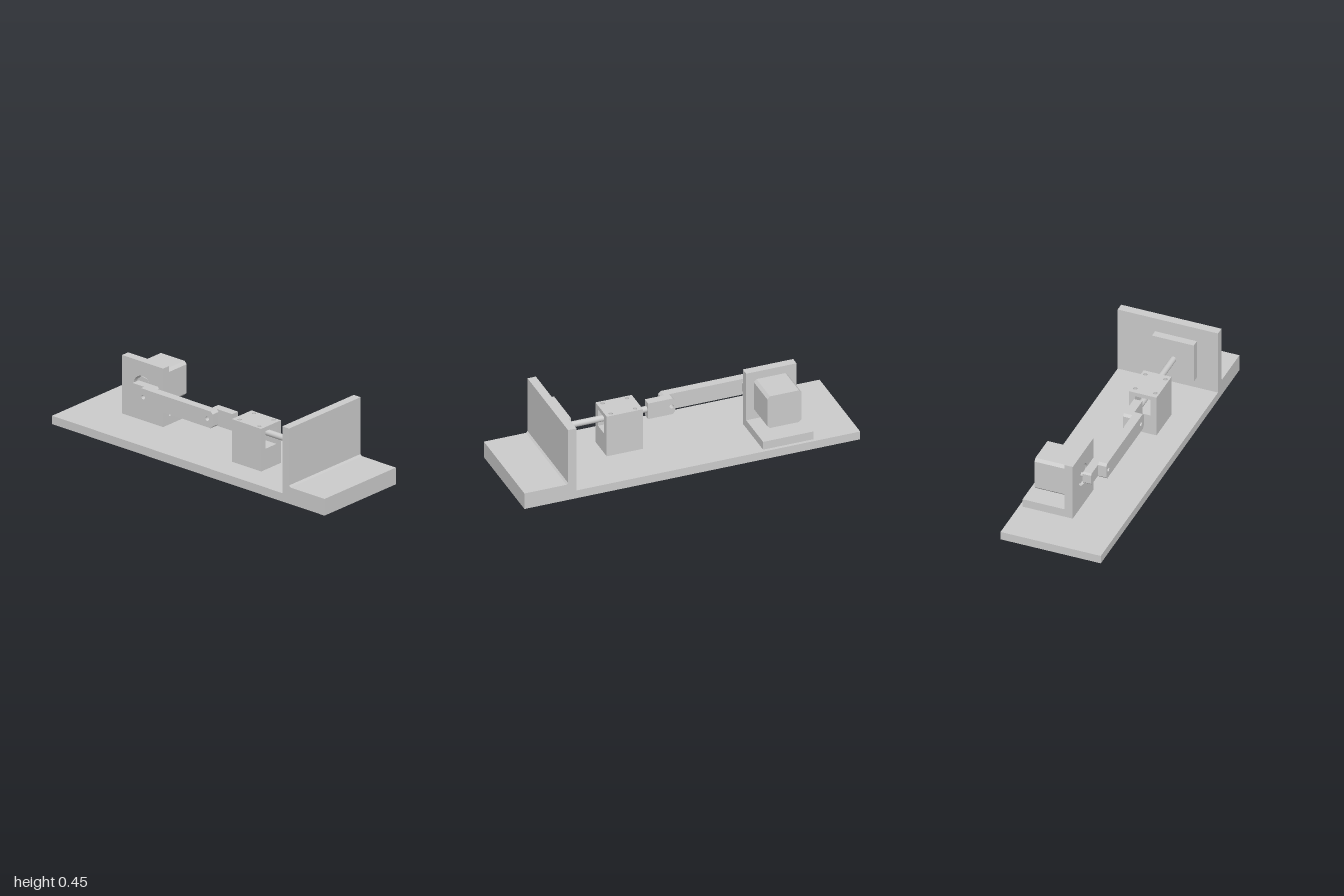
import * as THREE from 'three';

const material = new THREE.MeshStandardMaterial({ color: 0xcccccc });

function add(parent, name, geometry, x = 0, y = 0, z = 0) {
  const mesh = new THREE.Mesh(geometry, material);
  mesh.name = name;
  mesh.position.set(x, y, z);
  parent.add(mesh);
  return mesh;
}

// Box given by its minimum and maximum on each axis
function box(parent, name, x0, x1, y0, y1, z0, z1) {
  add(parent, name, new THREE.BoxGeometry(x1 - x0, y1 - y0, z1 - z0),
    (x0 + x1) / 2, (y0 + y1) / 2, (z0 + z1) / 2);
}

// Rectangle with corner cuts (left and right ends) and round holes [x, y, r]
function plate(x0, x1, y0, y1, cutL = 0, cutR = 0, holes = []) {
  const points = [];
  const corner = (x, y, dx, dy, c, flip) => {
    if (!c) return points.push(new THREE.Vector2(x, y));
    const pair = [new THREE.Vector2(x + dx * c, y), new THREE.Vector2(x, y + dy * c)];
    points.push(...(flip ? pair.reverse() : pair));
  };
  corner(x0, y0, 1, 1, cutL, true);
  corner(x1, y0, -1, 1, cutR, false);
  corner(x1, y1, -1, -1, cutR, true);
  corner(x0, y1, 1, -1, cutL, false);
  const shape = new THREE.Shape(points);
  for (const [x, y, r] of holes) {
    shape.holes.push(new THREE.Path().absarc(x, y, r, 0, Math.PI * 2, true));
  }
  return shape;
}

// Extrude an xy shape from z0 to z1
function alongZ(parent, name, shape, z0, z1) {
  const g = new THREE.ExtrudeGeometry(shape, { depth: z1 - z0, bevelEnabled: false, curveSegments: 20 });
  add(parent, name, g, 0, 0, z0);
}

// Extrude a plan shape (drawn in x, -z) from y0 to y1
function alongY(parent, name, shape, y0, y1) {
  const g = new THREE.ExtrudeGeometry(shape, { depth: y1 - y0, bevelEnabled: false, curveSegments: 16 });
  add(parent, name, g.rotateX(-Math.PI / 2), 0, y0, 0);
}

function group(parent, name) {
  const g = new THREE.Group();
  g.name = name;
  parent.add(g);
  return g;
}

export function createModel() {
  const model = new THREE.Group();
  model.name = 'crankPress';
  const axisY = 0.25;   // height of the crank and push rod
  const axisZ = 0.057;  // line of the push rod
  const crankX = -0.58, pinX = -0.48, clevisX = -0.01;

  // Bolt positions shared by the guide block and base
  const bolts = [];
  for (const x of [0.22, 0.365]) for (const z of [0, 0.12]) bolts.push([x, -z, 0.012]);

  // Base with end stop wall and step
  const base = group(model, 'base');
  alongY(base, 'basePlate', plate(-1, 1, -0.3, 0.3, 0, 0,
    [...bolts, [0.292, -0.06, 0.004]]), 0, 0.05);
  const stop = new THREE.Shape([
    [0.69, 0.05], [1, 0.05], [1, 0.1], [0.75, 0.1], [0.74, 0.11], [0.74, 0.45], [0.69, 0.45],
  ].map(([x, y]) => new THREE.Vector2(x, y)));
  alongZ(base, 'endStop', stop, -0.3, 0.3);

  // Motor bracket
  const bracket = group(model, 'motorBracket');
  alongZ(bracket, 'bracketPlate', plate(-0.73, -0.43, 0.05, 0.4, 0, 0, [[crankX, axisY, 0.065]]), -0.03, 0.02);
  box(bracket, 'bracketFoot', -0.73, -0.43, 0.05, 0.1, -0.28, -0.03);

  // Motor with boss and shaft
  const motor = group(model, 'motor');
  alongZ(motor, 'motorBody', plate(-0.68, -0.475, 0.148, 0.352, 0.016, 0.016), -0.23, -0.03);
  const round = (r, length) => new THREE.CylinderGeometry(r, r, length, 32).rotateX(Math.PI / 2);
  add(motor, 'motorBoss', round(0.054, 0.04), crankX, axisY, -0.01);
  add(motor, 'motorShaft', round(0.013, 0.07), crankX, axisY, 0);

  // Crank arm and connecting rod
  alongZ(model, 'crankArm', plate(-0.61, -0.45, 0.213, 0.287, 0.01, 0.01, [[pinX, axisY, 0.013]]), 0.03, 0.08);
  alongZ(model, 'connectingRod', plate(-0.51, 0.03, 0.2, 0.3, 0.014, 0.014,
    [[pinX, axisY, 0.013], [clevisX, axisY, 0.013]]), 0.08, 0.13);

  // Slider: rod end, push rod and ram plate
  const slider = group(model, 'slider');
  alongZ(slider, 'rodEnd', plate(-0.03, 0.13, 0.2, 0.3, 0.014, 0, [[clevisX, axisY, 0.013]]), 0.03, 0.08);
  add(slider, 'pushRod', new THREE.CylinderGeometry(0.018, 0.018, 0.51, 32).rotateZ(Math.PI / 2),
    0.38, axisY, axisZ);
  box(slider, 'ramPlate', 0.63, 0.675, 0.13, 0.375, -0.07, 0.18);

  // Guide block, layered around its square passage
  const guide = group(model, 'guideBlock');
  const [bx0, bx1, bz0, bz1] = [0.182, 0.398, -0.023, 0.143];
  alongY(guide, 'guideBottom', plate(bx0, bx1, -bz1, -bz0, 0, 0, bolts), 0.05, 0.175);
  alongY(guide, 'guideWallBack', plate(bx0, bx1, -0.014, -bz0, 0, 0, bolts.filter(b => b[1] > -0.06)), 0.175, 0.28);
  alongY(guide, 'guideWallFront', plate(bx0, bx1, -bz1, -0.106, 0, 0, bolts.filter(b => b[1] < -0.06)), 0.175, 0.28);
  alongY(guide, 'guideTop', plate(bx0, bx1, -bz1, -bz0, 0, 0, bolts), 0.28, 0.305);

  return model;
}
